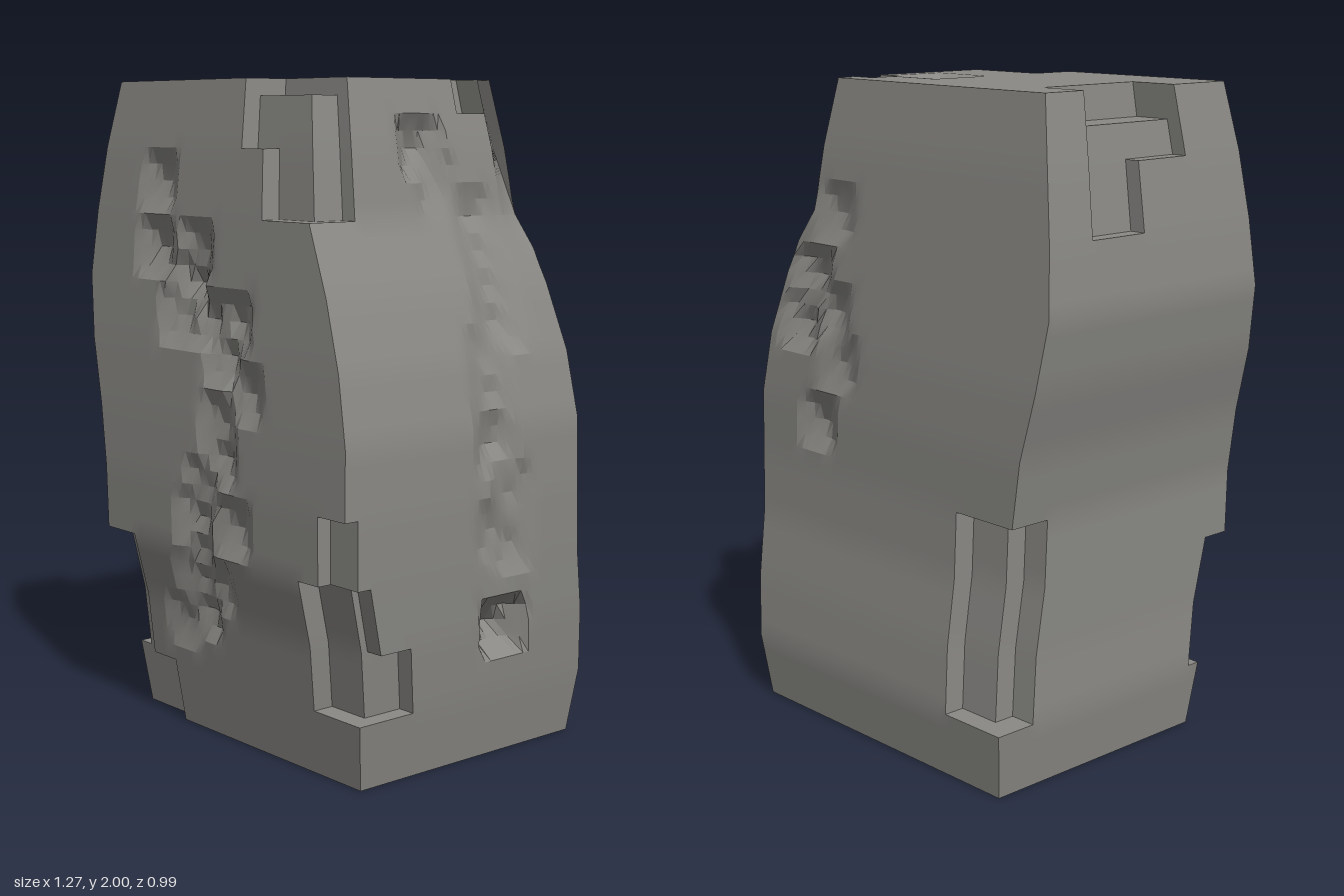
import * as THREE from 'three';
import { toCreasedNormals } from 'three/addons/utils/BufferGeometryUtils.js';

const N = 40; // cells along each axis

// outline every 0.2 of height
const LEFT = [-0.52, -0.54, -0.53, -0.53, -0.53, -0.56, -0.61, -0.64, -0.62, -0.59, -0.55];
const RIGHT = [0.57, 0.6, 0.62, 0.63, 0.635, 0.63, 0.59, 0.52, 0.43, 0.4, 0.36];
const BACK = [-0.47, -0.49, -0.47, -0.44, -0.43, -0.43, -0.42, -0.4, -0.38, -0.36, -0.33];
const FRONT = [0.38, 0.41, 0.44, 0.49, 0.495, 0.49, 0.48, 0.465, 0.45, 0.43, 0.4];

// chunks broken off the block, in cells: x0, x1, y0, y1, z0, z1 (z counts from the back)
const NOTCHES = [
  // top front corner: slot along the top, recessed front and side
  [28, 40, 39, 40, 32, 40], [28, 40, 36, 39, 37, 40], [32, 40, 32, 36, 37, 40], [38, 40, 32, 39, 32, 40],
  // top pocket running down the side
  [0, 7, 38, 40, 8, 28], [0, 2, 36, 38, 8, 28], [0, 2, 32, 36, 8, 18],
  // small break at the top edge
  [36, 40, 38, 40, 4, 10],
  // lower front corner
  [36, 40, 12, 16, 38, 40], [33, 40, 4, 12, 37, 40], [38, 40, 8, 12, 36, 40], [38, 40, 4, 8, 31, 40],
  // lower front corner, other side
  [0, 5, 4, 12, 38, 40], [0, 2, 4, 12, 36, 40], [0, 9, 0, 4, 38, 40],
  // lower back corner
  [0, 8, 4, 16, 0, 3], [0, 3, 4, 16, 0, 6],
];

// chips in each face: position across, height (or z on the top), depth
const FRONT_CHIPS = [
  [-0.3, 1.7, 0.04], [-0.3, 1.5, 0.05], [-0.1, 1.5, 0.05], [-0.13, 1.4, 0.08], [-0.17, 1.3, 0.05],
  [-0.03, 1.3, 0.05], [0.1, 1.3, 0.05], [0.06, 1.2, 0.05], [0.17, 1.1, 0.04], [0.05, 1, 0.04],
  [0.05, 0.9, 0.05], [-0.03, 0.8, 0.04], [-0.07, 0.7, 0.05], [0.12, 0.7, 0.04], [-0.07, 0.6, 0.05],
  [0, 0.5, 0.04], [-0.1, 0.5, 0.05], [-0.1, 0.4, 0.05], [-0.2, 0.35, 0.03],
];
const SIDE_CHIPS = [
  [0, 1.8, 0.06], [-0.05, 1.7, 0.03], [-0.18, 1.6, 0.03], [-0.18, 1.5, 0.03], [-0.18, 1.4, 0.035],
  [-0.17, 1.3, 0.035], [-0.1, 1.2, 0.03], [-0.1, 1.1, 0.03], [-0.1, 0.97, 0.05], [-0.16, 0.8, 0.03],
  [-0.1, 0.7, 0.03], [-0.16, 0.65, 0.03], [-0.14, 0.4, 0.1],
];
const BACK_CHIPS = [
  [0.3, 1.6, 0.03], [0.4, 1.4, 0.05], [0.3, 1.3, 0.04], [0.45, 1.25, 0.05],
  [0.25, 1.15, 0.03], [0.35, 0.95, 0.04],
];
const TOP_CHIPS = [[0.2, -0.05, 0.04]];

function sample(list, y) {
  const t = Math.min(y * 5, 9.999), i = Math.floor(t);
  return THREE.MathUtils.lerp(list[i], list[i + 1], t - i);
}

// depth of the deepest pyramid-shaped chip at a point of a face
function chipDepth(chips, a, b) {
  let depth = 0;
  for (const [ca, cb, d] of chips) {
    const fall = 1 - Math.max(Math.abs(a - ca), Math.abs(b - cb)) / 0.1;
    depth = Math.max(depth, d * Math.min(1, fall * 1.25));
  }
  return depth;
}

function solid(x, y, z) {
  if (Math.min(x, y, z) < 0 || Math.max(x, y, z) >= N) return false;
  return !NOTCHES.some(n => x >= n[0] && x < n[1] && y >= n[2] && y < n[3] && z >= n[4] && z < n[5]);
}

// grid corner to position in space
function place(i, j, k) {
  const y = j * 2 / N;
  const x = THREE.MathUtils.lerp(sample(LEFT, y), sample(RIGHT, y), i / N);
  const z = THREE.MathUtils.lerp(sample(BACK, y), sample(FRONT, y), k / N);
  const p = [x, y, z];
  if (k === N) p[2] -= chipDepth(FRONT_CHIPS, x, y);
  if (k === 0) p[2] += chipDepth(BACK_CHIPS, x, y);
  if (i === N) p[0] -= chipDepth(SIDE_CHIPS, z, y);
  if (j === N) p[1] -= chipDepth(TOP_CHIPS, x, z);
  // bevel of the vertical back edge, widening towards the top
  const wear = THREE.MathUtils.clamp((y - 1.5) * 0.25, 0, 0.075);
  if (i === N && k < 4) p[0] -= wear * (1 - k / 4);
  return p;
}

function buildRock() {
  const positions = [], index = [], seen = new Map();
  const vertex = p => {
    const key = p.join();
    if (!seen.has(key)) {
      seen.set(key, positions.length / 3);
      positions.push(...place(...p));
    }
    return seen.get(key);
  };
  const addFace = (cell, axis, dir) => {
    const b = (axis + 1) % 3, c = (axis + 2) % 3;
    const corners = [[0, 0], [1, 0], [1, 1], [0, 1]].map(([s, t]) => {
      const p = [...cell];
      if (dir > 0) p[axis]++;
      p[b] += s;
      p[c] += t;
      return vertex(p);
    });
    if (dir < 0) corners.reverse();
    const [p, q, r, s] = corners;
    index.push(p, q, r, p, r, s);
  };
  // keep only the faces between a solid cell and empty space
  for (let x = 0; x < N; x++) for (let y = 0; y < N; y++) for (let z = 0; z < N; z++) {
    if (!solid(x, y, z)) continue;
    for (let axis = 0; axis < 3; axis++) for (const dir of [-1, 1]) {
      const next = [x, y, z];
      next[axis] += dir;
      if (!solid(...next)) addFace([x, y, z], axis, dir);
    }
  }
  const geometry = new THREE.BufferGeometry();
  geometry.setAttribute('position', new THREE.Float32BufferAttribute(positions, 3));
  geometry.setIndex(index);
  return toCreasedNormals(geometry, 0.3);
}

export function createModel() {
  const stone = new THREE.MeshStandardMaterial({ color: 0x8a8985 });
  stone.name = 'grey stone';
  const rock = new THREE.Mesh(buildRock(), stone);
  rock.name = 'rockPillar';
  const group = new THREE.Group();
  group.name = 'rock';
  group.add(rock);
  return group;
}
